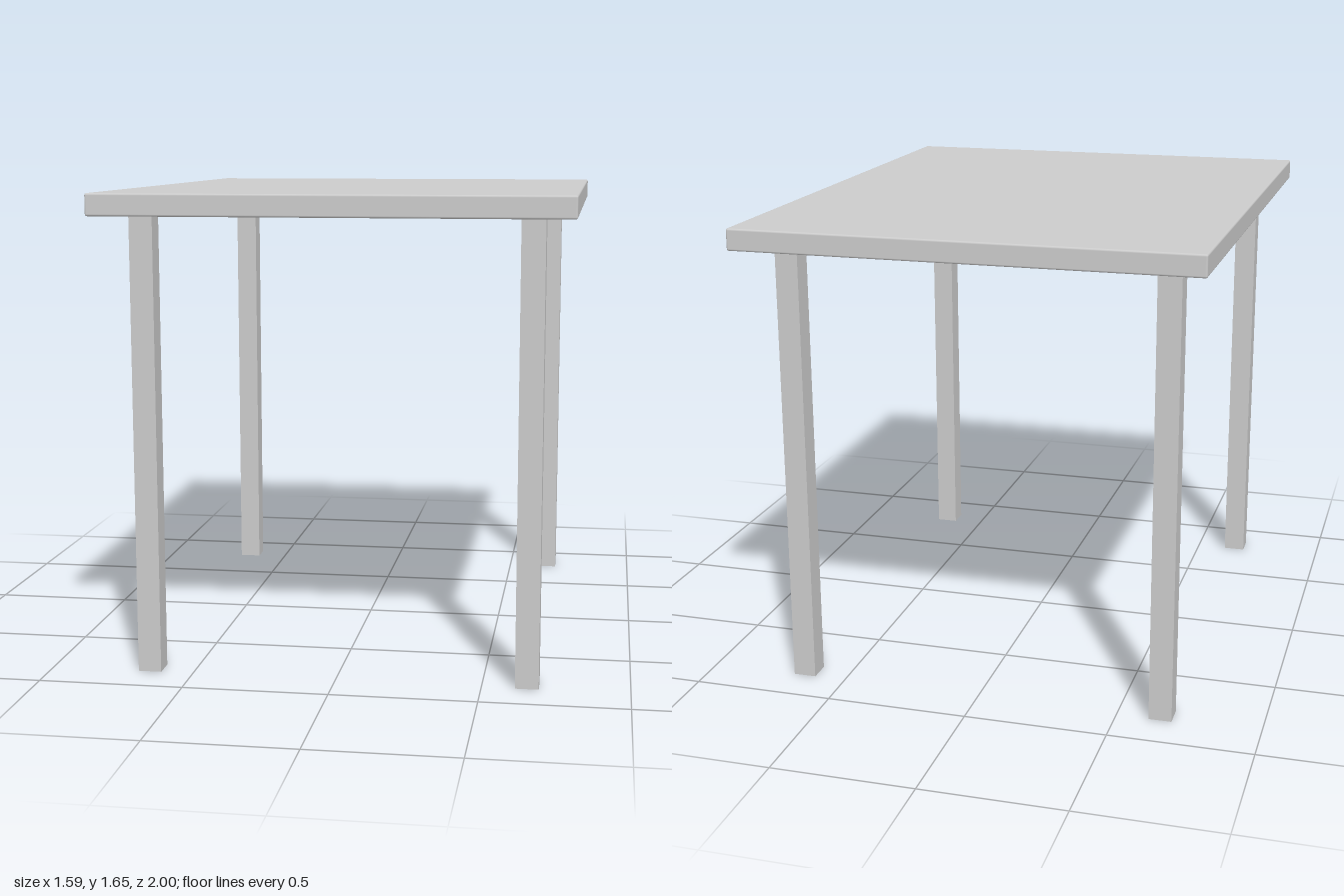
import * as THREE from 'three';
import { RoundedBoxGeometry } from 'three/addons/geometries/RoundedBoxGeometry.js';

export function createModel() {
  const table = new THREE.Group();
  table.name = 'table';
  const material = new THREE.MeshStandardMaterial({ color: 0xcccccc });

  const legHeight = 1.58, legWidth = 0.08, topThickness = 0.075;

  // Table top: a slab with slightly eased edges
  const top = new THREE.Mesh(new RoundedBoxGeometry(1.592, topThickness, 2, 2, 0.007), material);
  top.name = 'tableTop';
  top.position.y = legHeight + topThickness / 2;
  table.add(top);

  // Four square legs, mirrored about both axes
  const legGeometry = new THREE.BoxGeometry(legWidth, legHeight, legWidth);
  for (const [end, sz] of [['front', 1], ['back', -1]]) {
    for (const [side, sx] of [['Left', 1], ['Right', -1]]) {
      const leg = new THREE.Mesh(legGeometry, material);
      leg.name = `${end}${side}Leg`;
      leg.position.set(sx * 0.653, legHeight / 2, sz * 0.811);
      table.add(leg);
    }
  }
  return table;
}
